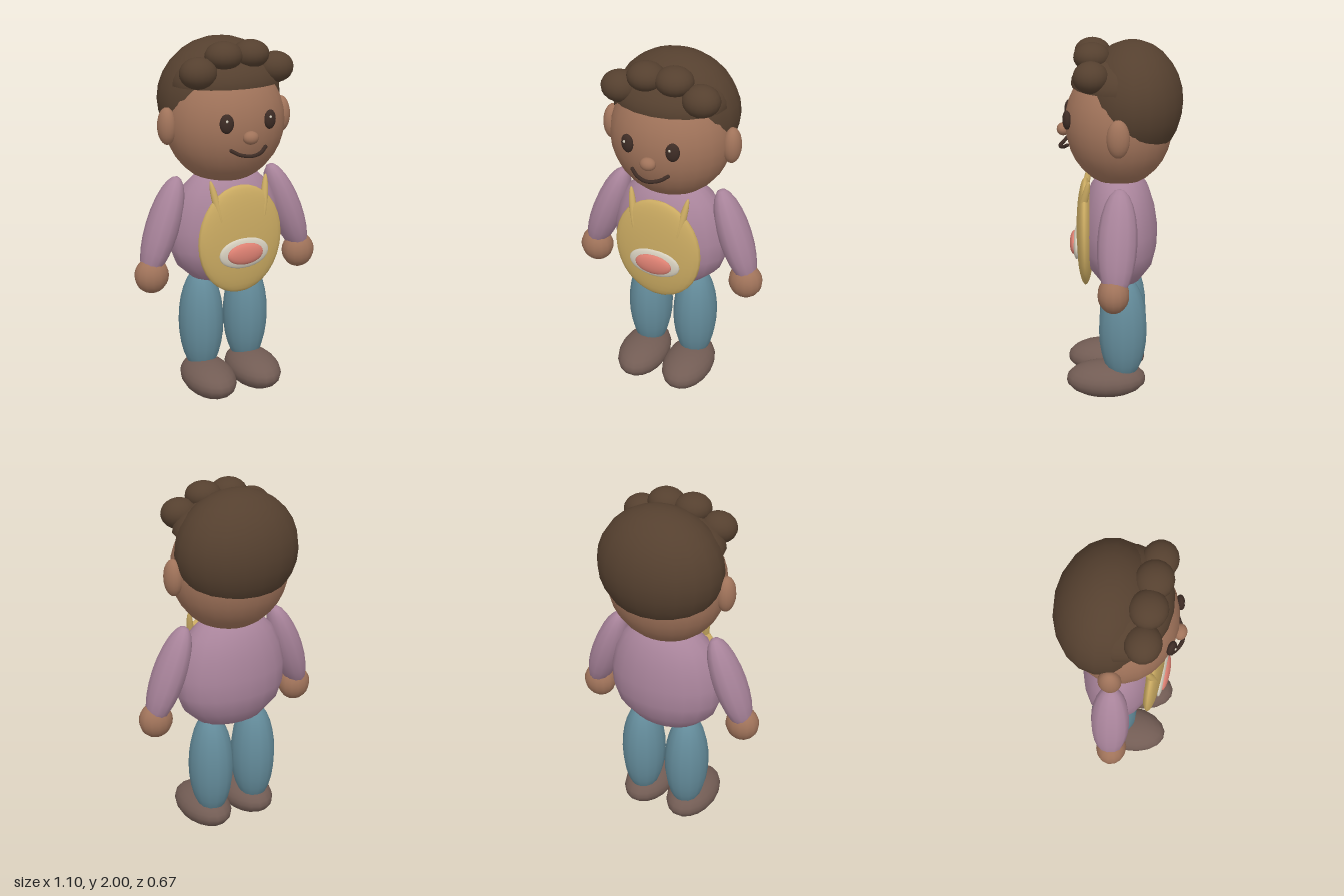
import * as THREE from 'three';

const mat = (name, color) => {
  const m = new THREE.MeshStandardMaterial({ color });
  m.name = name;
  return m;
};

export function createModel() {
  const group = new THREE.Group();
  const skin = mat('skin', 0xa0735a);
  const hair = mat('hair', 0x55402f);
  const dark = mat('eye dark', 0x3d2c25);
  const shirt = mat('shirt', 0xa9849b);
  const trousers = mat('trousers', 0x648c9b);
  const leather = mat('shoe', 0x725c54);
  const apron = mat('apron', 0xcbab62);
  const cream = mat('cream', 0xd6cfbe);
  const coral = mat('coral', 0xdc8072);

  const add = (name, geometry, material) => {
    const mesh = new THREE.Mesh(geometry, material);
    mesh.name = name;
    group.add(mesh);
    return mesh;
  };
  const ball = (name, material, pos, radii, rot = [0, 0, 0], seg = 18, rings = 12) => {
    const mesh = add(name, new THREE.SphereGeometry(1, seg, rings), material);
    mesh.position.set(...pos);
    mesh.scale.set(...radii);
    mesh.rotation.set(...rot);
    return mesh;
  };

  // Head and face
  ball('head', skin, [0, 1.56, 0], [0.33, 0.34, 0.29], [0, 0, 0], 24, 16);
  ball('nose', skin, [0, 1.525, 0.3], [0.043, 0.035, 0.035]);
  const smile = new THREE.CatmullRomCurve3([
    [-0.1, 1.462, 0.275], [-0.06, 1.441, 0.3], [0, 1.433, 0.318],
    [0.06, 1.441, 0.3], [0.1, 1.462, 0.275],
  ].map((p) => new THREE.Vector3(...p)));
  add('mouth', new THREE.TubeGeometry(smile, 20, 0.01, 8), dark);
  for (const s of [-1, 1]) ball('mouthCorner', dark, [s * 0.1, 1.462, 0.275], [0.01, 0.01, 0.01]);

  // Hair: rounded back, fringe cap and front curls
  ball('hairBack', hair, [0, 1.68, -0.07], [0.345, 0.32, 0.27], [0, 0, 0], 20, 14);
  const fringe = add('fringe', new THREE.SphereGeometry(1, 20, 8, 0, Math.PI * 2, 0, Math.PI / 2), hair);
  fringe.position.set(0, 1.77, 0.02);
  fringe.scale.set(0.31, 0.17, 0.235);
  const under = add('fringeUnderside', new THREE.CircleGeometry(1, 20), hair);
  under.position.copy(fringe.position);
  under.scale.set(0.31, 0.235, 1);
  under.rotation.x = Math.PI / 2;

  // Torso, rounded and flattened front to back
  const profile = [[0, 0.65], [0.1, 0.656], [0.2, 0.69], [0.29, 0.775], [0.325, 0.87],
    [0.328, 0.98], [0.3, 1.1], [0.25, 1.2], [0.17, 1.275], [0, 1.31]]
    .map((p) => new THREE.Vector2(...p));
  add('torso', new THREE.LatheGeometry(profile, 20), shirt).scale.z = 0.64;

  // Apron with an oval badge
  ball('apron', apron, [0, 0.94, 0.187], [0.25, 0.305, 0.05], [0, 0, 0], 24, 16);
  ball('badgeRim', cream, [0, 0.875, 0.234], [0.148, 0.086, 0.022], [0, 0, 0], 24);
  ball('badgeCentre', coral, [0, 0.875, 0.25], [0.106, 0.06, 0.025], [0, 0, 0], 24);

  // Mirrored parts
  for (const s of [-1, 1]) {
    const side = s > 0 ? 'left' : 'right';
    ball(side + 'InnerCurl', hair, [s * 0.077, 1.928, 0.142], [0.1, 0.074, 0.096]);
    ball(side + 'OuterCurl', hair, [s * 0.222, 1.85, 0.145], [0.1, 0.082, 0.092]);
    ball(side + 'Ear', skin, [s * 0.34, 1.56, 0.005], [0.05, 0.1, 0.06]);
    ball(side + 'Eye', dark, [s * 0.125, 1.605, 0.274], [0.037, 0.051, 0.022], [0, s * 0.3, 0]);
    ball(side + 'EyeGlint', cream, [s * 0.125 - 0.008, 1.622, 0.294], [0.007, 0.008, 0.005]);
    ball(side + 'Sleeve', shirt, [s * 0.38, 1.01, 0.01], [0.088, 0.287, 0.105], [-0.05, 0, s * 0.355], 12, 12);
    ball(side + 'Hand', skin, [s * 0.455, 0.755, 0.03], [0.095, 0.1, 0.084], [0, 0, 0], 14);
    ball(side + 'Strap', apron, [s * 0.143, 1.155, 0.19], [0.02, 0.13, 0.02], [-0.23, 0, s * -0.17]);
    ball(side + 'Leg', trousers, [s * 0.14, 0.41, -0.02], [0.125, 0.32, 0.136], [0, 0, 0], 14, 14);
    ball(side + 'Shoe', leather, [s * 0.142, 0.1, 0.075], [0.142, 0.1, 0.225]);
  }
  return group;
}
